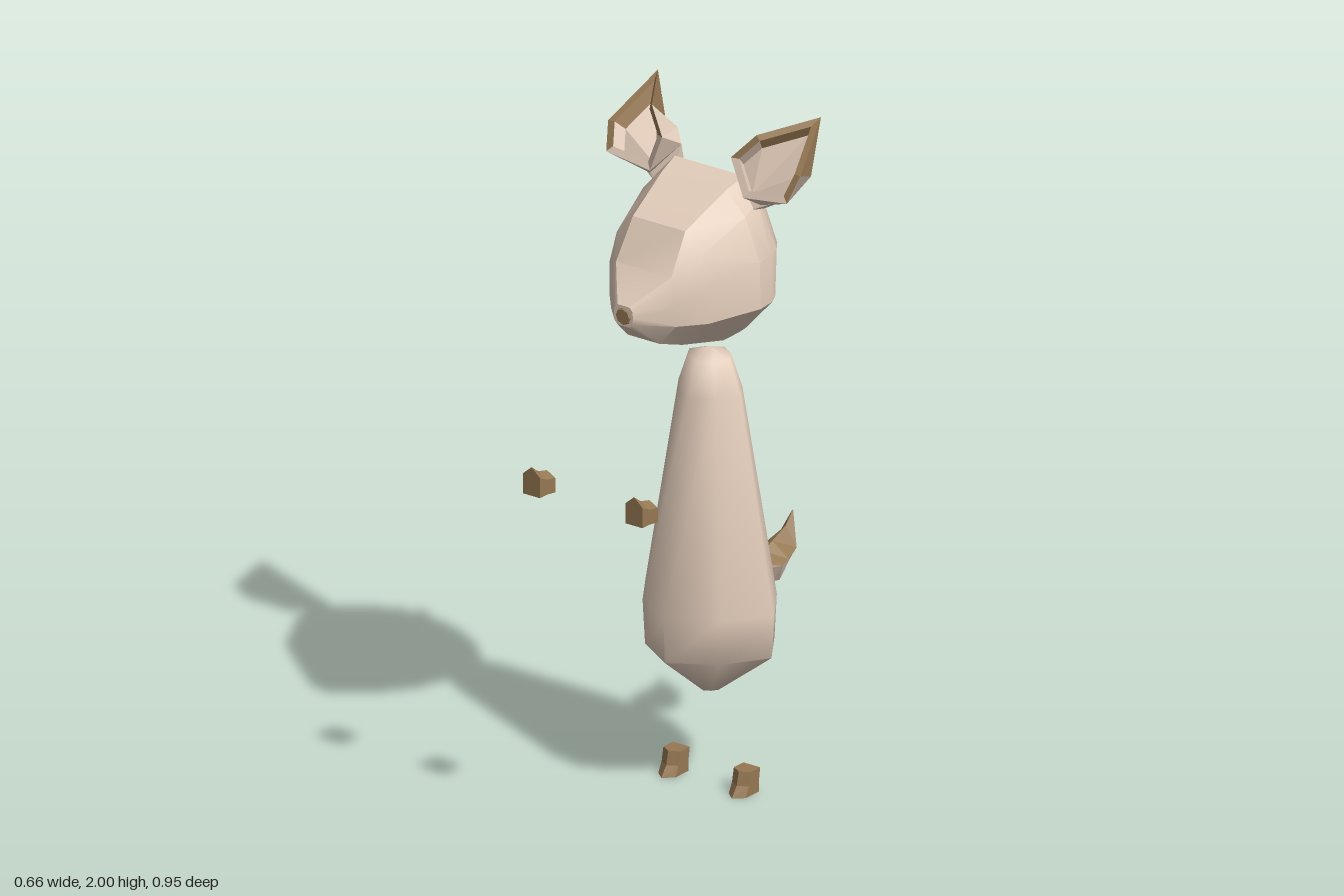
import * as THREE from 'three';
import { toCreasedNormals } from 'three/addons/utils/BufferGeometryUtils.js';

const fur = new THREE.MeshStandardMaterial({ color: 0xe3cdbb });
const brown = new THREE.MeshStandardMaterial({ color: 0x967853 });

// Skin a list of rings (each counter-clockwise about the loft direction).
// keep(ring, side) selects faces; the caps are ring -1 and ring rings.length - 1.
function loft(rings, keep = () => true) {
  const pos = [];
  const tri = (a, b, c) => pos.push(...a, ...b, ...c);
  const n = rings[0].length;
  for (let j = 0; j < rings.length - 1; j++) {
    for (let i = 0; i < n; i++) {
      if (!keep(j, i)) continue;
      const k = (i + 1) % n;
      const [a, b, c, d] = [rings[j][i], rings[j][k], rings[j + 1][k], rings[j + 1][i]];
      tri(a, b, c);
      tri(a, c, d);
    }
  }
  const first = rings[0], last = rings[rings.length - 1];
  for (let i = 1; i < n - 1; i++) {
    if (keep(-1, i)) tri(first[0], first[i + 1], first[i]);
    if (keep(rings.length - 1, i)) tri(last[0], last[i], last[i + 1]);
  }
  const geo = new THREE.BufferGeometry();
  geo.setAttribute('position', new THREE.Float32BufferAttribute(pos, 3));
  return geo;
}

// Mirror across x = 0, restoring the corner order
function mirrored(geo) {
  const g = geo.clone().scale(-1, 1, 1);
  const p = g.attributes.position;
  for (let i = 0; i < p.count; i += 3) {
    const b = [p.getX(i + 1), p.getY(i + 1), p.getZ(i + 1)];
    p.setXYZ(i + 1, p.getX(i + 2), p.getY(i + 2), p.getZ(i + 2));
    p.setXYZ(i + 2, ...b);
  }
  return g;
}

function part(name, geo, material, crease = 0.05) {
  geo.computeVertexNormals();
  const mesh = new THREE.Mesh(toCreasedNormals(geo, crease), material);
  mesh.name = name;
  return mesh;
}

// Pear-shaped body, eight-sided with corners on the axes: [height, radius]
function makeBody() {
  const plan = [[0, 0.96], [0.61, 0.58], [1, 0], [0.61, -0.58],
    [0, -0.96], [-0.61, -0.58], [-1, 0], [-0.61, 0.58]];
  const rings = [[0.28, 0.03], [0.42, 0.212], [0.55, 0.22], [1.17, 0.107], [1.27, 0.07], [1.29, 0.012]]
    .map(([y, r]) => plan.map(([x, z]) => [x * r, y, z * r - 0.1]));
  return part('body', loft(rings), fur, 1.2);
}

// Head sections from back to snout: z, then x and y of brow, temple, side, cheek and jaw
function makeHead() {
  const sections = [
    [-0.262, [0.045, 1.66], [0.06, 1.64], [0.07, 1.6], [0.06, 1.54], [0.04, 1.51]],
    [-0.22, [0.075, 1.715], [0.105, 1.685], [0.14, 1.6], [0.125, 1.5], [0.06, 1.435]],
    [-0.14, [0.1, 1.79], [0.15, 1.745], [0.2, 1.62], [0.195, 1.48], [0.095, 1.36]],
    [-0.1, [0.12, 1.83], [0.165, 1.765], [0.212, 1.62], [0.215, 1.48], [0.1, 1.36]],
    [-0.03, [0.11, 1.81], [0.175, 1.745], [0.225, 1.62], [0.228, 1.485], [0.1, 1.36]],
    [0.13, [0.09, 1.735], [0.145, 1.675], [0.17, 1.58], [0.17, 1.48], [0.08, 1.395]],
    [0.2, [0.095, 1.622], [0.108, 1.6], [0.115, 1.54], [0.112, 1.48], [0.055, 1.415]],
    [0.292, [0.02, 1.545], [0.03, 1.535], [0.033, 1.515], [0.03, 1.495], [0.02, 1.485]],
  ];
  const rings = sections.map(([z, brow, temple, side, cheek, jaw]) => {
    const left = [jaw, cheek, side, temple, brow];
    const right = [...left].reverse().map(([x, y]) => [-x, y]);
    return [...left, ...right].map(([x, y]) => [x, y, z]);
  });
  return part('head', loft(rings), fur, 0.5);
}

// Cupped ear with brown tip, made for the left side
function makeEars() {
  const base = [[0.165, 1.75, -0.07], [0.19, 1.752, -0.1], [0.19, 1.76, -0.13],
    [0.17, 1.77, -0.15], [0.12, 1.79, -0.145], [0.11, 1.79, -0.08]];
  const back = [[0.19, 1.768, -0.08], [0.275, 1.8, -0.11], [0.31, 1.86, -0.15],
    [0.228, 1.885, -0.2], [0.165, 1.88, -0.172], [0.112, 1.86, -0.12]];
  const rim = [[0.16, 1.795, -0.04], [0.31, 1.815, -0.04], [0.33, 1.89, -0.075],
    [0.28, 2.0, -0.235], [0.18, 1.975, -0.075], [0.118, 1.905, -0.04]];
  const centre = [0.225, 1.895, -0.085];
  const normal = [0.35, 0.71, 0.62];
  const inset = (t, depth) => rim.map((p) =>
    p.map((v, k) => v + (centre[k] - v) * t - normal[k] * depth));
  const rings = [base, back, rim, inset(0.2, 0), inset(0.28, 0.035)];
  const isTip = (j, i) => ((j === 1 || j === 3) && (i === 2 || i === 3)) || (j === 2 && i >= 1 && i <= 4);
  const cup = loft(rings, (j, i) => !isTip(j, i));
  const tip = loft(rings, isTip);
  return ['leftEar', 'rightEar'].map((name, s) => {
    const ear = new THREE.Group();
    ear.name = name;
    ear.add(part('earCup', s ? mirrored(cup) : cup.clone(), fur));
    ear.add(part('earTip', s ? mirrored(tip) : tip.clone(), brown));
    return ear;
  });
}

// Upturned tail, brown above and pale below: z, half width, edge, keel and ridge heights
function makeTail() {
  const rings = [
    [-0.285, 0.02, 0.57, 0.55, 0.59],
    [-0.345, 0.065, 0.575, 0.52, 0.603],
    [-0.385, 0.055, 0.58, 0.51, 0.62],
    [-0.445, 0.038, 0.59, 0.555, 0.645],
    [-0.477, 0.002, 0.68, 0.67, 0.682],
  ].map(([z, w, edge, keel, ridge]) => [
    [w, edge, z], [w * 0.45, keel, z], [-w * 0.45, keel, z], [-w, edge, z], [0, ridge, z]]);
  const isTop = (j, i) => j >= 0 && j < 4 && i >= 3;
  const tail = new THREE.Group();
  tail.name = 'tail';
  tail.add(part('tailTop', loft(rings, isTop), brown));
  tail.add(part('tailUnderside', loft(rings, (j, i) => !isTop(j, i)), fur));
  return tail;
}

// Five-sided hoof with a pointed toe along +z
function makeHoof(name) {
  const ring = (y, heel, side, toe) => [
    [-0.029, y, heel], [-0.029, y, side], [0, y, toe], [0.029, y, side], [0.029, y, heel]];
  const rings = [ring(0, 0, 0.06, 0.085), ring(0.03, 0, 0.045, 0.063), ring(0.07, -0.006, 0.037, 0.053)];
  return part(name, loft(rings), brown);
}

export function createModel() {
  const model = new THREE.Group();
  model.name = 'deer';
  model.add(makeBody(), makeHead(), makeTail(), ...makeEars());

  // Nose at the tip of the snout
  const noseGeo = new THREE.CylinderGeometry(0.022, 0.03, 0.012, 8).rotateX(Math.PI / 2);
  const nose = part('nose', noseGeo, brown);
  nose.position.set(0, 1.514, 0.291);
  model.add(nose);

  // Rear hooves stand flat; front hooves are raised with the soles forward
  for (const [side, s] of [['Left', 1], ['Right', -1]]) {
    const rear = makeHoof(`rear${side}Hoof`);
    rear.position.set(s * 0.121, 0, -0.125);
    const front = makeHoof(`front${side}Hoof`);
    front.rotation.x = -Math.PI / 2;
    front.position.set(s * 0.176, 0.998, 0.477);
    model.add(rear, front);
  }
  return model;
}
